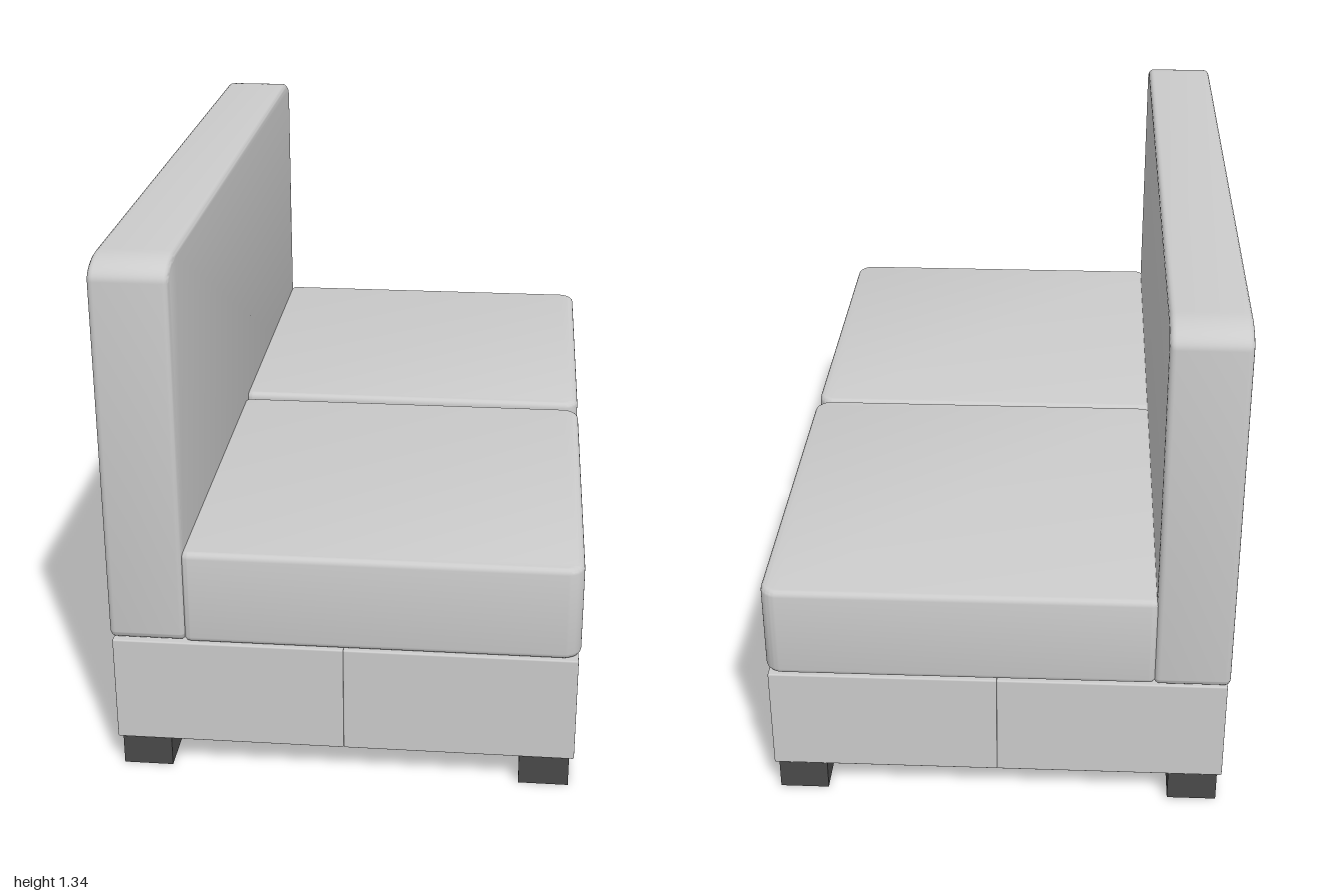
import * as THREE from 'three';
import { toCreasedNormals } from 'three/addons/utils/BufferGeometryUtils.js';
import { RoundedBoxGeometry } from 'three/addons/geometries/RoundedBoxGeometry.js';

const fabric = new THREE.MeshStandardMaterial({ color: 0xcccccc });
const legMaterial = new THREE.MeshStandardMaterial({ color: 0x4a4a4a });

function addMesh(parent, name, geometry, material, x, y, z) {
  const mesh = new THREE.Mesh(geometry, material);
  mesh.name = name;
  mesh.position.set(x, y, z);
  parent.add(mesh);
  return mesh;
}

// Rectangle centred on the origin; each corner is [rx, ry], counter-clockwise from bottom left.
function roundedRect(w, h, [a, b, c, d]) {
  const x = w / 2, y = h / 2;
  const s = new THREE.Shape();
  const corner = (cx, cy, rx, ry, start) =>
    s.absellipse(cx, cy, rx, ry, start, start + Math.PI / 2, false, 0);
  corner(-x + a[0], -y + a[1], a[0], a[1], Math.PI);
  corner(x - b[0], -y + b[1], b[0], b[1], Math.PI * 1.5);
  corner(x - c[0], y - c[1], c[0], c[1], 0);
  corner(-x + d[0], y - d[1], d[0], d[1], Math.PI / 2);
  s.closePath();
  return s;
}

// Upholstered slab with softened edges, centred along its thickness.
function padded(shape, thickness, bevel) {
  const geometry = new THREE.ExtrudeGeometry(shape, {
    depth: thickness - 2 * bevel,
    bevelThickness: bevel,
    bevelSize: bevel,
    bevelOffset: -bevel,
    bevelSegments: 4,
    curveSegments: 6,
  });
  geometry.translate(0, 0, bevel - thickness / 2);
  return geometry;
}

export function createModel() {
  const sofa = new THREE.Group();
  sofa.name = 'sofa';

  // Base of eight upholstered panels meeting at thin seams
  const base = new THREE.Group();
  base.name = 'base';
  sofa.add(base);
  const panel = new RoundedBoxGeometry(0.574, 0.28, 0.496, 2, 0.004);
  for (const x of [-0.287, 0.287]) {
    for (let i = 0; i < 4; i++) {
      addMesh(base, 'basePanel', panel, fabric, x, 0.22, -0.741 + i * 0.497);
    }
  }

  // Backrest with wide rounded upper corners
  const small = [0.025, 0.025], top = [0.1, 0.05];
  const back = padded(roundedRect(1.99, 0.98, [small, small, top, top]), 0.19, 0.015);
  back.rotateY(-Math.PI / 2);
  addMesh(sofa, 'backrest', toCreasedNormals(back, 0.6), fabric, -0.485, 0.85, 0);

  // Two seat cushions, rounded at the front corners
  const tight = [0.018, 0.018], front = [0.045, 0.045];
  const seat = padded(roundedRect(0.975, 0.988, [tight, front, front, tight]), 0.245, 0.015);
  seat.rotateX(-Math.PI / 2);
  const seatGeometry = toCreasedNormals(seat, 0.6);
  addMesh(sofa, 'leftSeatCushion', seatGeometry, fabric, 0.0925, 0.4825, 0.5);
  addMesh(sofa, 'rightSeatCushion', seatGeometry, fabric, 0.0925, 0.49, -0.502);

  // Square block legs
  const leg = new THREE.BoxGeometry(0.124, 0.08, 0.12);
  for (const x of [-0.5, 0.5]) {
    for (const z of [-0.925, 0.932]) addMesh(sofa, 'leg', leg, legMaterial, x, 0.04, z);
  }

  return sofa;
}
